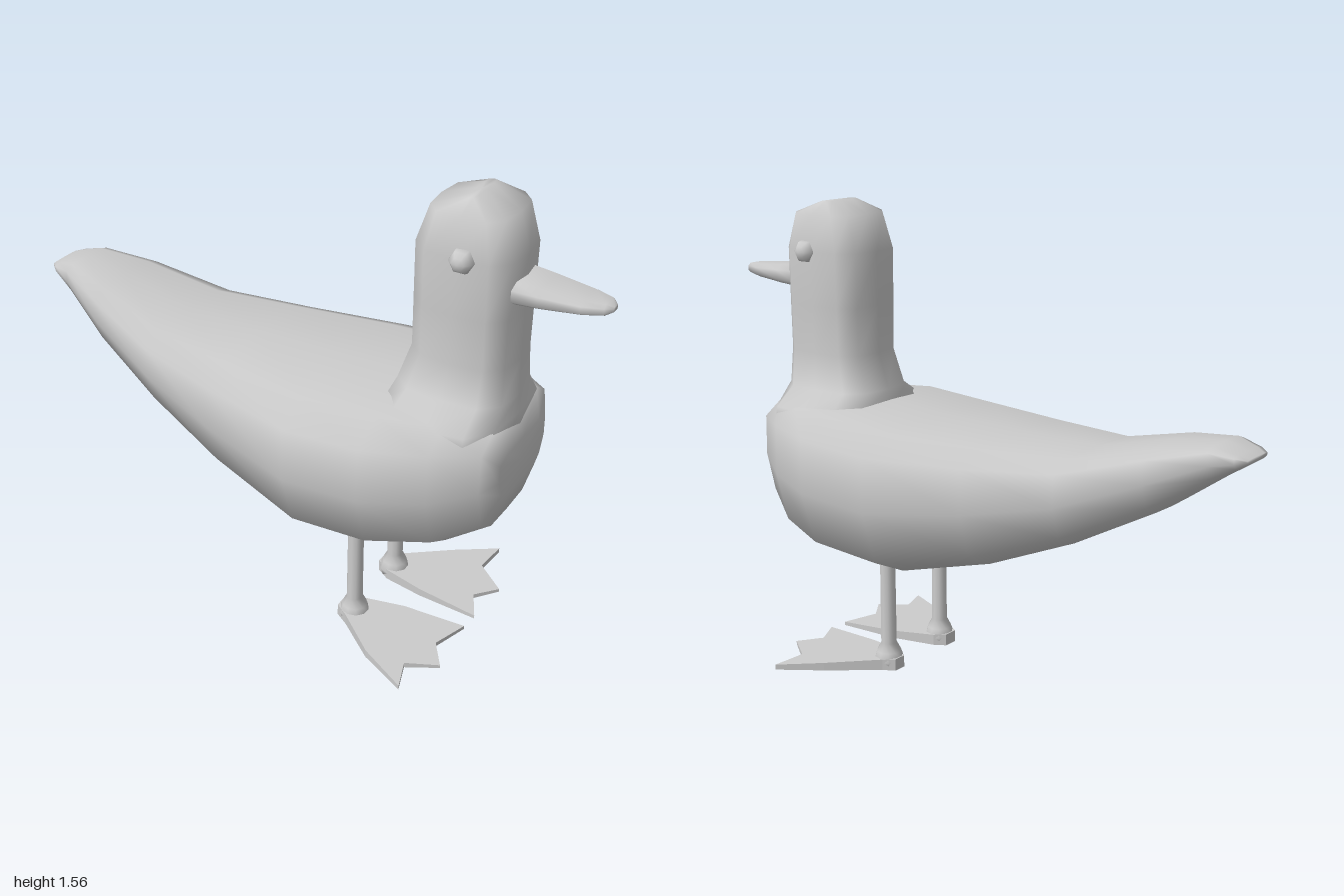
import * as THREE from 'three';

const material = new THREE.MeshStandardMaterial({ color: 0xcccccc });

function addMesh(parent, name, geometry) {
  const mesh = new THREE.Mesh(geometry, material);
  mesh.name = name;
  parent.add(mesh);
  return mesh;
}

// Smooth skin over rings of equal point count, closed at both ends.
function loft(rings) {
  const n = rings[0].length, positions = [], index = [];
  const centre = ring => [0, 1, 2].map(k => ring.reduce((s, p) => s + p[k], 0) / n);
  rings.forEach(ring => ring.forEach(p => positions.push(...p)));
  const start = rings.length * n, end = start + 1, last = start - n;
  positions.push(...centre(rings[0]), ...centre(rings[rings.length - 1]));
  for (let i = 0; i < n; i++) {
    const j = (i + 1) % n;
    for (let r = 0; r < rings.length - 1; r++) {
      const a = r * n, b = a + n;
      index.push(a + i, a + j, b + j, a + i, b + j, b + i);
    }
    index.push(start, j, i, end, last + i, last + j);
  }
  const geometry = new THREE.BufferGeometry();
  geometry.setAttribute('position', new THREE.Float32BufferAttribute(positions, 3));
  geometry.setIndex(index);
  geometry.computeVertexNormals();
  return geometry;
}

// Rings along x; the half profile runs from bottom to top as [width, height] fractions.
function loftAlongX(profile, stations) {
  const mirrored = profile.filter(p => p[0] > 0).reverse();
  return loft(stations.map(([x, bottom, top, halfWidth]) => [
    ...profile.map(([u, v]) => [x, bottom + v * (top - bottom), -u * halfWidth]),
    ...mirrored.map(([u, v]) => [x, bottom + v * (top - bottom), u * halfWidth]),
  ]));
}

// Rounded-box rings stacked up y: [y, back, front, half width].
function loftAlongY(stations) {
  const quarter = [[0, 1], [0.62, 0.93], [0.93, 0.62]];
  const section = [];
  for (let q = 0; q < 4; q++) {
    for (const [x, z] of quarter) {
      section.push([[x, z], [z, -x], [-x, -z], [-z, x]][q]);
    }
  }
  return loft(stations.map(([y, back, front, halfWidth]) => section.map(([x, z]) =>
    [(back + front) / 2 + x * (front - back) / 2, y, z * halfWidth])));
}

// Webbed foot: flat outline thinning from heel to toes.
function footGeometry(outline) {
  const shape = new THREE.Shape(outline.map(([x, z]) => new THREE.Vector2(x, -z)));
  const geometry = new THREE.ExtrudeGeometry(shape, { depth: 1, bevelEnabled: false });
  geometry.rotateX(-Math.PI / 2);
  const p = geometry.attributes.position;
  for (let i = 0; i < p.count; i++) {
    const t = (p.getX(i) - 0.23) / 0.42;
    p.setY(i, p.getY(i) > 0.5 ? 0.045 - 0.02 * t : 0.004 + 0.01 * t);
  }
  geometry.computeVertexNormals();
  return geometry;
}

export function createModel() {
  const bird = new THREE.Group();
  bird.name = 'bird';

  // Body from tail tip to breast
  addMesh(bird, 'body', loftAlongX(
    [[0, 0], [0.5, 0.01], [0.85, 0.14], [1, 0.5], [0.99, 0.86], [0.7, 0.97], [0, 1]],
    [
      [-1.0, 0.925, 0.94, 0.06],
      [-0.97, 0.905, 0.95, 0.085],
      [-0.9, 0.86, 0.97, 0.11],
      [-0.73, 0.74, 0.947, 0.175],
      [-0.47, 0.6, 0.885, 0.245],
      [-0.18, 0.48, 0.885, 0.318],
      [0.15, 0.393, 0.892, 0.39],
      [0.41, 0.41, 0.91, 0.39],
      [0.6, 0.44, 0.905, 0.31],
      [0.73, 0.52, 0.89, 0.225],
      [0.765, 0.64, 0.8, 0.16],
    ]));

  // Neck flaring into the shoulders, and head with a short crown ridge
  addMesh(bird, 'neckAndHead', loftAlongY([
    [0.76, 0.34, 0.758, 0.27],
    [0.88, 0.35, 0.745, 0.245],
    [0.94, 0.37, 0.74, 0.16],
    [1.06, 0.41, 0.735, 0.143],
    [1.22, 0.41, 0.735, 0.147],
    [1.4, 0.41, 0.735, 0.151],
    [1.52, 0.45, 0.7, 0.137],
    [1.56, 0.56, 0.59, 0.08],
  ]));

  // Beak
  addMesh(bird, 'beak', loftAlongX(
    [[0.7, 0], [1, 0.25], [1, 0.75], [0.7, 1]],
    [
      [0.71, 1.262, 1.336, 0.09],
      [0.8, 1.267, 1.329, 0.082],
      [0.92, 1.276, 1.32, 0.062],
      [0.98, 1.283, 1.317, 0.038],
      [1.0, 1.293, 1.308, 0.015],
    ]));

  // Eyes
  for (const [name, side] of [['leftEye', 1], ['rightEye', -1]]) {
    const eye = addMesh(bird, name, new THREE.SphereGeometry(0.041, 6, 6).rotateX(Math.PI / 2));
    eye.position.set(0.595, 1.4, 0.14 * side);
  }

  // Legs with ankle flare, each on its own slightly turned foot
  const legProfile = [[0, 0.005], [0.045, 0.008], [0.052, 0.03], [0.042, 0.06], [0.027, 0.09], [0.026, 0.45]]
    .map(([r, y]) => new THREE.Vector2(r, y));
  const sides = [
    ['left', 0.155, [[0.232, 0.18], [0.232, 0.13], [0.27, 0.105], [0.42, 0.06], [0.63, 0.035],
      [0.59, 0.16], [0.65, 0.245], [0.55, 0.3], [0.585, 0.4], [0.42, 0.32], [0.28, 0.21]]],
    ['right', -0.12, [[0.232, -0.1], [0.232, -0.145], [0.27, -0.17], [0.42, -0.3], [0.55, -0.4],
      [0.54, -0.28], [0.645, -0.2], [0.585, -0.125], [0.635, -0.03], [0.42, -0.045], [0.28, -0.07]]],
  ];
  for (const [side, z, outline] of sides) {
    const leg = addMesh(bird, side + 'Leg', new THREE.LatheGeometry(legProfile, 10));
    leg.position.set(0.282, 0, z);
    addMesh(bird, side + 'Foot', footGeometry(outline));
  }

  return bird;
}
